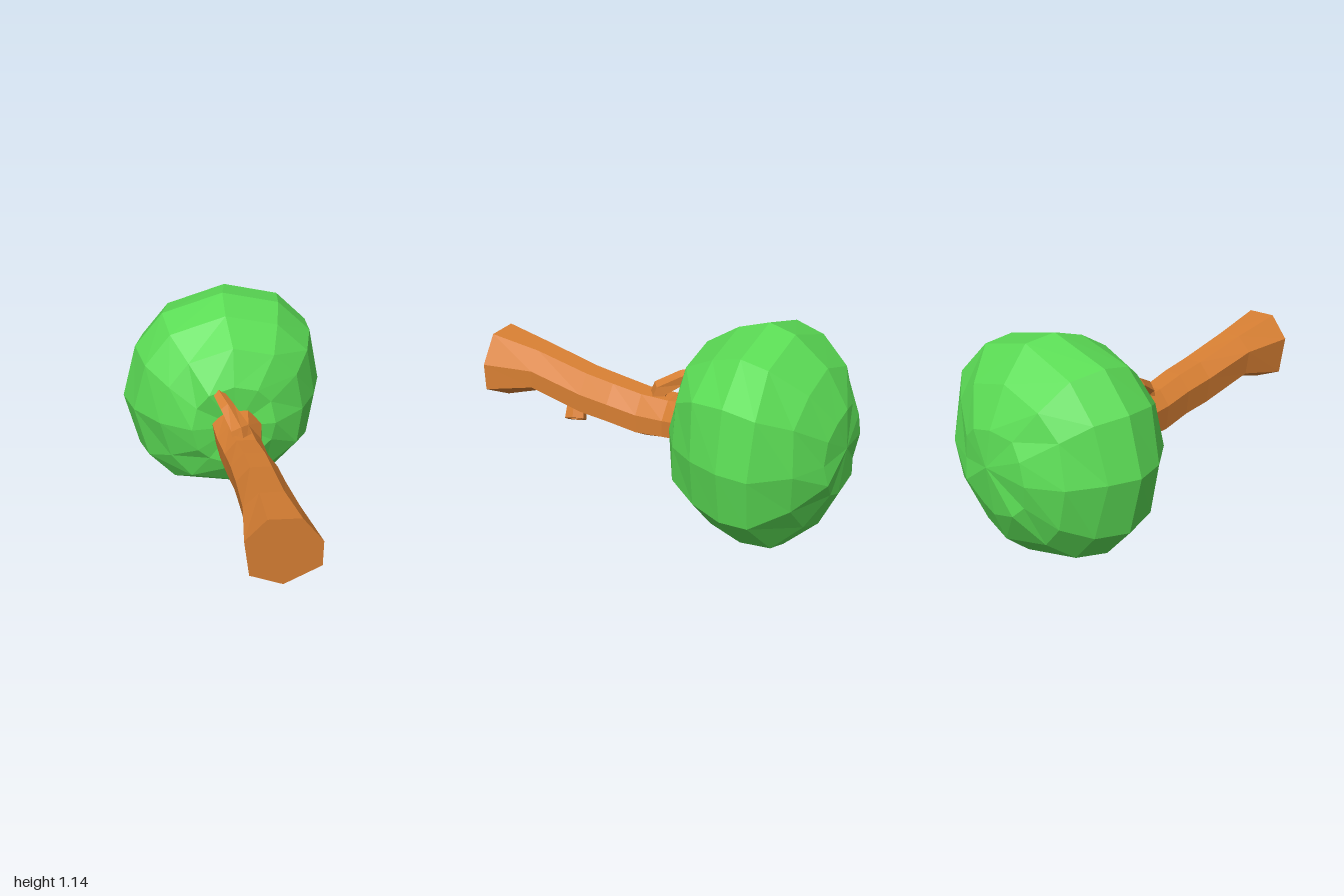
import * as THREE from 'three';

const bark = new THREE.MeshStandardMaterial({ color: 0xd77f33, flatShading: true });
const leaf = new THREE.MeshStandardMaterial({ color: 0x5bdc55, flatShading: true });

// Skins a list of equal-length rings and closes both ends with fans.
function loft(rings, startTip, endTip) {
  const n = rings[0].length;
  const mean = (ring) => ring.reduce((s, p) => s.add(p), new THREE.Vector3()).divideScalar(n);
  const points = [...rings.flat(), startTip ?? mean(rings[0]), endTip ?? mean(rings.at(-1))];
  const first = points.length - 2, last = points.length - 1;
  const index = [];
  for (let j = 0; j < n; j++) {
    const k = (j + 1) % n;
    for (let i = 0; i < rings.length - 1; i++) {
      const a = i * n + j, b = i * n + k, c = a + n, d = b + n;
      index.push(a, c, b, b, c, d);
    }
    const e = (rings.length - 1) * n;
    index.push(first, j, k, last, e + k, e + j);
  }
  const geo = new THREE.BufferGeometry().setFromPoints(points);
  geo.setIndex(index);
  geo.computeVertexNormals();
  return geo;
}

function part(name, geo, material) {
  const mesh = new THREE.Mesh(geo, material);
  mesh.name = name;
  return mesh;
}

// Seven-sided trunk lying along z, flared at the base and under the crown
function trunk() {
  const section = [[-0.07, 0.19], [-0.17, 0.08], [-0.145, -0.12], [0.01, -0.19],
    [0.185, -0.1], [0.185, 0.04], [0.085, 0.18]];
  // z, centre x, centre y, x scale, y scale
  const stations = [[0.985, 0, 0.63, 1, 1], [0.72, 0, 0.645, 0.75, 0.65], [0.42, 0.01, 0.575, 0.68, 0.68],
    [0.26, 0.01, 0.555, 0.66, 0.66], [0.1, 0, 0.525, 0.62, 0.67], [-0.05, -0.01, 0.528, 0.64, 0.62],
    [-0.17, 0, 0.55, 0.74, 0.62], [-0.28, 0, 0.56, 0.72, 0.6]];
  const rings = stations.map(([z, cx, cy, sx, sy], i) => section.map(([x, y]) =>
    new THREE.Vector3(cx + x * sx, cy + y * sy, z + (i ? 0 : 0.03 * x + 0.05 * y))));
  return part('trunk', loft(rings), bark);
}

// Small bent branch reaching into the crown
function branch() {
  const path = [[0, 0.58, 0.04], [-0.015, 0.67, 0.02], [-0.06, 0.735, -0.08], [-0.1, 0.78, -0.2]]
    .map((p) => new THREE.Vector3(...p));
  const radii = [0.06, 0.05, 0.04, 0.028];
  const rings = path.map((p, i) => {
    const d = path[Math.min(i + 1, 3)].clone().sub(path[Math.max(i - 1, 0)]).normalize();
    const u = new THREE.Vector3(1, 0, 0).addScaledVector(d, -d.x).normalize();
    const v = u.clone().cross(d);
    return [0, 1, 2, 3, 4].map((j) => {
      const a = j / 5 * Math.PI * 2 + 0.3;
      return p.clone().addScaledVector(u, radii[i] * Math.cos(a)).addScaledVector(v, radii[i] * Math.sin(a));
    });
  });
  return part('branch', loft(rings), bark);
}

// Hollow stub of a cut branch on the underside
function stub() {
  const profile = [[0.05, 0], [0.058, 0.085], [0.036, 0.085], [0.03, 0.06], [0, 0.06]]
    .map(([r, y]) => new THREE.Vector2(r, y));
  const mesh = part('cutBranch', new THREE.LatheGeometry(profile, 6), bark);
  mesh.position.set(0.045, 0.505, 0.5);
  mesh.quaternion.setFromUnitVectors(new THREE.Vector3(0, 1, 0), new THREE.Vector3(0.48, -0.85, -0.2).normalize());
  return mesh;
}

// Faceted crown: one uneven outline scaled along z
function crown() {
  const outline = [[0, 0.57], [-0.32, 0.48], [-0.47, 0.3], [-0.545, 0.01], [-0.47, -0.3], [-0.32, -0.47],
    [0.04, -0.57], [0.25, -0.49], [0.485, -0.26], [0.53, 0.01], [0.475, 0.31], [0.3, 0.49]];
  // z, scale, x shift
  const stations = [[-0.16, 0.41, -0.01], [-0.255, 0.71, 0], [-0.4, 0.91, -0.01], [-0.57, 1, 0],
    [-0.73, 0.95, 0.035], [-0.875, 0.71, 0.01], [-0.97, 0.39, 0]];
  const rings = stations.map(([z, s, dx], i) => outline.map(([x, y], j) => {
    const wobble = i === 3 ? 0 : 0.012 * Math.sin(j * 2.3 + i * 1.9);
    return new THREE.Vector3(x * s + dx, 0.57 + y * (s + wobble), z + wobble);
  }));
  return part('crown', loft(rings, new THREE.Vector3(0, 0.57, -0.16), new THREE.Vector3(0.02, 0.6, -1)), leaf);
}

export function createModel() {
  const tree = new THREE.Group();
  tree.name = 'tree';
  tree.add(trunk(), branch(), stub(), crown());
  return tree;
}
